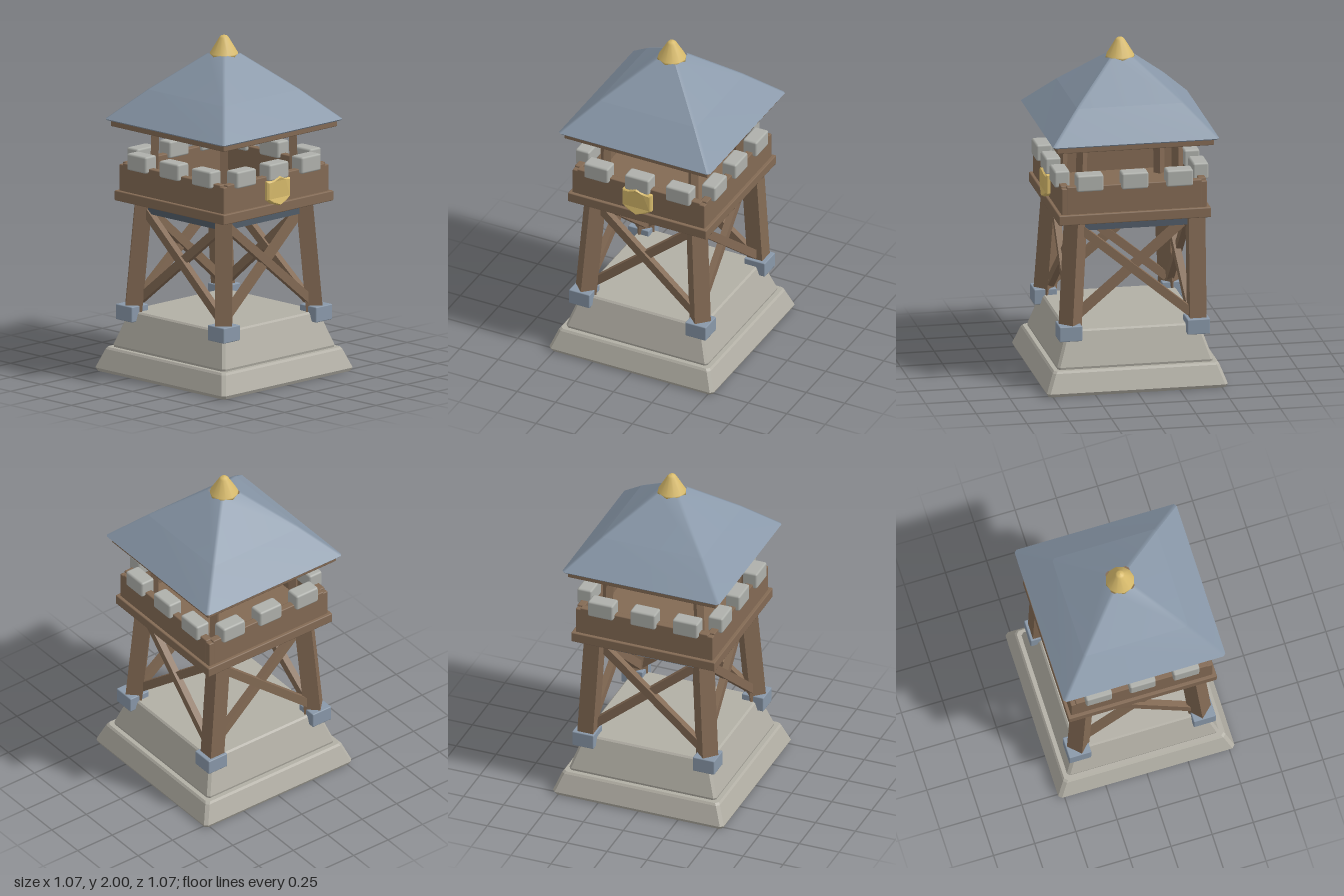
import * as THREE from 'three';
import { RoundedBoxGeometry } from 'three/addons/geometries/RoundedBoxGeometry.js';

const mat = (name, color) => {
  const m = new THREE.MeshStandardMaterial({ color });
  m.name = name;
  return m;
};

export function createModel() {
  const stone = mat('stone', 0xb2afa5);
  const paleStone = mat('paleStone', 0xaeb0ab);
  const wood = mat('wood', 0x836a54);
  const slate = mat('slate', 0x8998a9);
  const darkSlate = mat('darkSlate', 0x515c68);
  const gold = mat('gold', 0xd8bb6c);

  const tower = new THREE.Group();
  tower.name = 'watchtower';

  const add = (name, geometry, material, x = 0, y = 0, z = 0, parent = tower) => {
    const mesh = new THREE.Mesh(geometry, material);
    mesh.name = name;
    mesh.position.set(x, y, z);
    parent.add(mesh);
    return mesh;
  };

  const block = (name, w, h, d, material, x, y, z, parent, r = 0.006) =>
    add(name, new RoundedBoxGeometry(w, h, d, 1, r), material, x, y, z, parent);

  // Square solid with clipped corners from [half width, height] pairs, bottom to top
  const squareLoft = (name, profile, material, clip, smooth = false) => {
    const points = profile.map(p => new THREE.Vector2(...p));
    let g = new THREE.LatheGeometry(points, 8, Math.PI / 8);
    const pos = g.attributes.position;
    for (let i = 0; i < pos.count; i++) {
      const half = points[i % points.length].x;
      const x = pos.getX(i), z = pos.getZ(i);
      const short = Math.max(half - clip, 0);
      const wide = Math.abs(x) > Math.abs(z);
      pos.setX(i, Math.sign(x) * (wide ? half : short));
      pos.setZ(i, Math.sign(z) * (wide ? short : half));
    }
    if (!smooth) g = g.toNonIndexed();
    g.computeVertexNormals();
    return add(name, g, material);
  };

  // Straight timber between two points, with its width kept level
  const up = new THREE.Vector3(0, 1, 0);
  const beam = (name, a, b, w, h, material, parent) => {
    const from = new THREE.Vector3(...a), to = new THREE.Vector3(...b);
    const mesh = add(name, new THREE.BoxGeometry(w, h, from.distanceTo(to)), material, 0, 0, 0, parent);
    mesh.position.copy(from).lerp(to, 0.5);
    mesh.quaternion.setFromRotationMatrix(new THREE.Matrix4().lookAt(to, from, up));
    return mesh;
  };

  // Stepped stone base
  squareLoft('lowerBase', [[0, 0], [0.525, 0], [0.535, 0.02], [0.493, 0.13], [0.483, 0.142], [0, 0.142]], stone, 0.018);
  squareLoft('upperBase', [[0, 0.13], [0.455, 0.13], [0.46, 0.155], [0.395, 0.35], [0.385, 0.36], [0, 0.36]], stone, 0.015);

  // Legs, feet and roof posts at the four corners
  for (const sx of [-1, 1]) {
    for (const sz of [-1, 1]) {
      const upright = sx > 0 && sz < 0; // this leg leans only sideways
      const zBottom = upright ? -0.38 : sz * 0.372;
      const zTop = upright ? -0.38 : sz * 0.328;
      beam('leg', [sx * 0.374, 0.33, zBottom], [sx * 0.328, 1.03, zTop], 0.098, 0.098, wood);
      block('foot', 0.135, 0.092, 0.135, slate, sx * 0.378, 0.351, sz * 0.378);
      beam('roofPost', [sx * 0.29, 1.05, sz * 0.29], [sx * 0.28, 1.48, sz * 0.28], 0.046, 0.046, wood);
    }
  }

  // One side of the tower, turned to all four directions
  for (let i = 0; i < 4; i++) {
    const side = new THREE.Group();
    side.name = 'towerSide';
    side.rotation.y = i * Math.PI / 2;
    tower.add(side);

    for (const s of [-1, 1]) {
      beam('crossBrace', [s * 0.34, 0.425, 0.355 + s * 0.008], [-s * 0.3, 0.955, 0.325 + s * 0.008],
        0.04, 0.05, wood, side);
    }
    add('underBeam', new THREE.BoxGeometry(0.66, 0.07, 0.05), darkSlate, 0, 0.98, 0.32, side);
    block('parapetWall', 0.8, 0.19, 0.045, wood, 0, 1.145, 0.408, side);
    block('parapetCorner', 0.05, 0.18, 0.05, wood, 0.405, 1.14, 0.405, side);
    for (const x of [-0.265, 0, 0.265]) {
      block('merlon', 0.158, 0.1, 0.092, paleStone, x, 1.262, 0.41, side, 0.012);
    }
  }

  // Pale plate on the back beam
  add('beamPlate', new THREE.BoxGeometry(0.37, 0.066, 0.006), slate, -0.11, 0.979, -0.347);

  // Platform floor
  block('platform', 0.9, 0.06, 0.9, wood, 0, 1.043, 0);

  // Roof with an eave board and two softly ridged pitches
  block('eaveBoard', 0.93, 0.045, 0.93, wood, 0, 1.477, 0);
  squareLoft('roofEdge', [[0, 1.492], [0.485, 1.492], [0.492, 1.5]], slate, 0.015);
  squareLoft('lowerRoof', [[0.492, 1.5], [0.316, 1.676]], slate, 0.015, true);
  squareLoft('upperRoof', [[0.316, 1.676], [0.072, 1.892]], slate, 0.015, true);

  // Finial
  const finialProfile = [[0, 1.88], [0.086, 1.88], [0.083, 1.893], [0.028, 1.985], [0.018, 1.996], [0, 2]];
  add('finial', new THREE.LatheGeometry(finialProfile.map(p => new THREE.Vector2(...p)), 12), gold);

  // Shield on the front wall, bevelled and domed towards the middle
  const outline = [[0, 0.082], [0.045, 0.062], [0.085, 0.056], [0.085, -0.04], [0.05, -0.063], [0, -0.08],
    [-0.05, -0.063], [-0.085, -0.04], [-0.085, 0.056], [-0.045, 0.062]];
  const shape = new THREE.Shape(outline.map(p => new THREE.Vector2(...p)));
  const shield = new THREE.ExtrudeGeometry(shape, {
    depth: 0.018, bevelEnabled: true, bevelSize: 0.009, bevelThickness: 0.007, bevelSegments: 1,
  });
  const pos = shield.attributes.position;
  for (let i = 0; i < pos.count; i++) {
    if (pos.getZ(i) > 0.02) pos.setZ(i, pos.getZ(i) + 0.012 * (1 - Math.abs(pos.getX(i)) / 0.1));
  }
  shield.computeVertexNormals();
  add('shield', shield, gold, 0, 1.147, 0.431);

  return tower;
}
